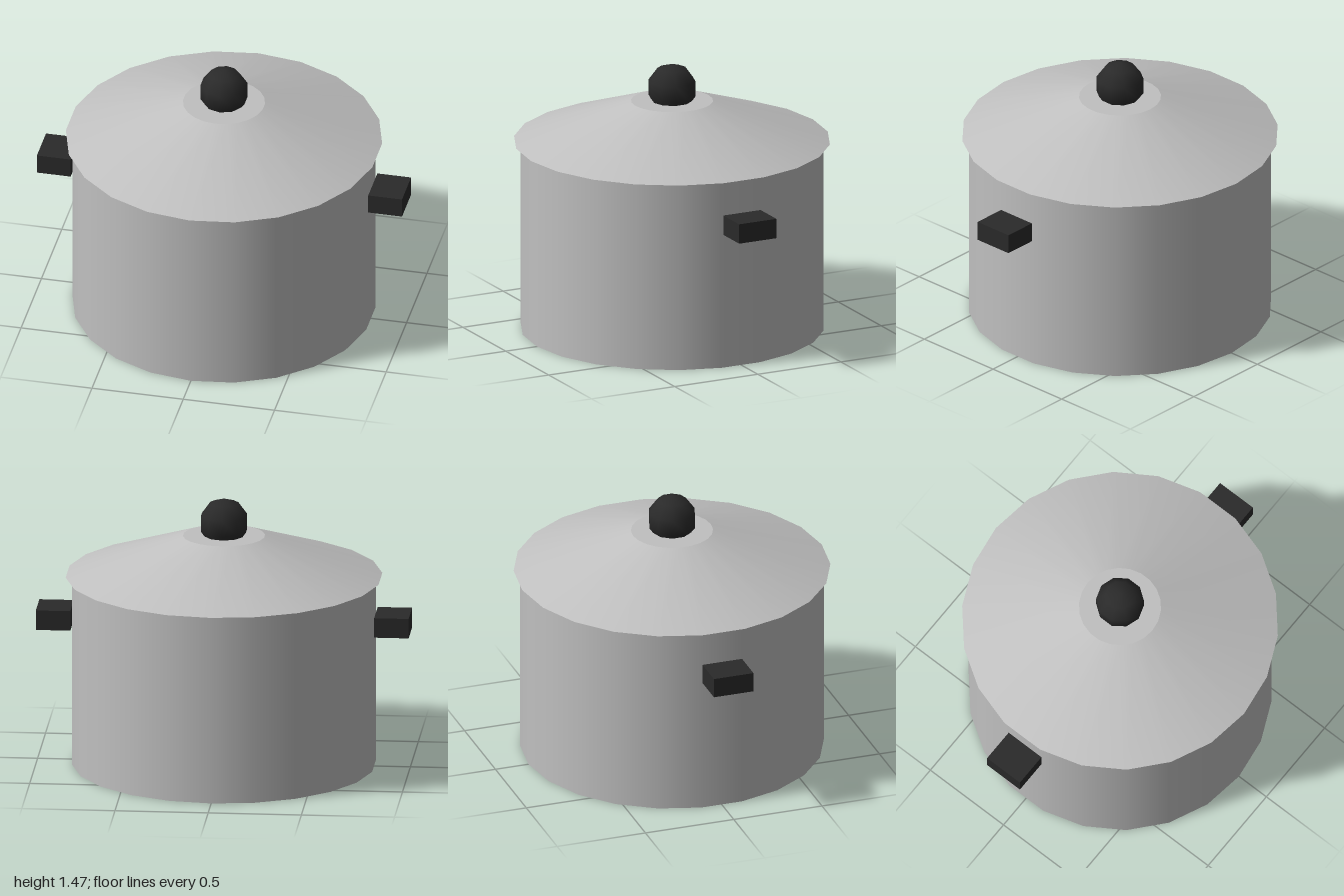
import * as THREE from 'three';

export function createModel() {
  const steel = new THREE.MeshStandardMaterial({ color: 0xc0c0c0 });
  steel.name = 'steel';
  const black = new THREE.MeshStandardMaterial({ color: 0x2a2a2a });
  black.name = 'blackPlastic';

  const model = new THREE.Group();
  model.name = 'cookingPot';

  function add(name, geometry, material, x, y, z) {
    const mesh = new THREE.Mesh(geometry, material);
    mesh.name = name;
    mesh.position.set(x, y, z);
    model.add(mesh);
    return mesh;
  }

  const sides = 22;

  // Straight-walled pot
  const potHeight = 1.04;
  add('potBody', new THREE.CylinderGeometry(0.813, 0.813, potHeight, sides), steel, 0, potHeight / 2, 0);

  // Sloping lid with a flat top, overhanging the wall
  const lidHeight = 0.222;
  add('lid', new THREE.CylinderGeometry(0.22, 0.848, lidHeight, sides), steel, 0, potHeight + lidHeight / 2, 0);

  // Faceted round knob, sunk slightly into the lid
  const knob = new THREE.SphereGeometry(0.134, 10, 5).rotateY(Math.PI / 2);
  add('lidKnob', knob, black, 0, 1.332, 0);

  // Block handles on both sides
  for (const [name, side] of [['leftHandle', 1], ['rightHandle', -1]]) {
    add(name, new THREE.BoxGeometry(0.185, 0.108, 0.224), black, side * 0.9075, 0.798, 0);
  }

  return model;
}
